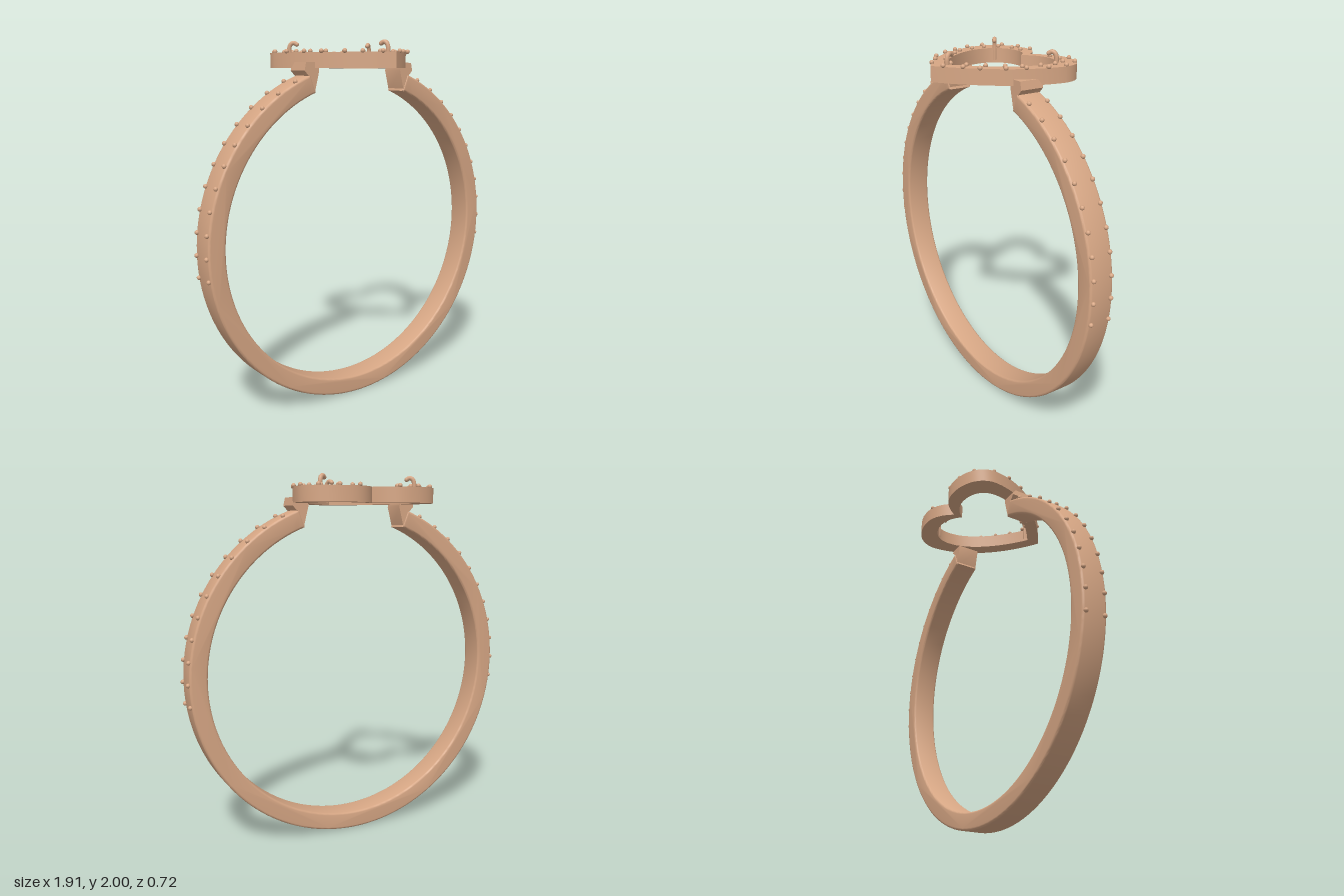
import * as THREE from 'three';
import { toCreasedNormals } from 'three/addons/utils/BufferGeometryUtils.js';

const CENTER_Y = 0.94;

export function createModel() {
  const group = new THREE.Group();
  const roseGold = new THREE.MeshStandardMaterial({ color: 0xd6a684 });
  roseGold.name = 'roseGold';

  const add = (name, geometry, parent = group) => {
    const mesh = new THREE.Mesh(geometry, roseGold);
    mesh.name = name;
    parent.add(mesh);
    return mesh;
  };
  const extrude = (shape, depth, bevel, curveSegments = 12) => {
    const g = new THREE.ExtrudeGeometry(shape, {
      depth: depth - 2 * bevel, curveSegments,
      bevelEnabled: bevel > 0, bevelThickness: bevel, bevelSize: bevel,
      bevelOffset: -bevel, bevelSegments: 3,
    });
    g.translate(0, 0, bevel - depth / 2);
    return toCreasedNormals(g, 0.6);
  };

  // Open band: an arc with a gap at the top
  const gap = THREE.MathUtils.degToRad(20.5);
  const start = Math.PI / 2 + gap, end = Math.PI * 2.5 - gap;
  const arc = new THREE.Shape();
  arc.absarc(0, 0, 0.94, start, end, false);
  arc.absarc(0, 0, 0.843, end, start, true);
  arc.closePath();
  add('band', extrude(arc, 0.14, 0.012, 120)).position.y = CENTER_Y;

  // Shoulders joining the band to the heart
  for (const side of [1, -1]) {
    const pts = [[0.304, 1.727], [0.335, 1.81], [0.365, 1.842], [0.355, 1.885], [0.285, 1.885], [0.275, 1.842]]
      .map(([x, y]) => new THREE.Vector2(x * side, y));
    add(side > 0 ? 'leftShoulder' : 'rightShoulder', extrude(new THREE.Shape(pts), 0.132, 0));
  }

  // Heart outline from one half, given as a tip and three curves, then mirrored
  const heartPoints = (tip, ...curves) => {
    const path = new THREE.Path().moveTo(...tip);
    curves.forEach((c) => path.bezierCurveTo(...c));
    const half = path.getPoints(16);
    const mirror = half.slice(1, -1).reverse().map((p) => new THREE.Vector2(-p.x, p.y));
    return [...half, ...mirror];
  };
  const heart = new THREE.Shape(heartPoints([0, -0.355],
    [0.22, -0.22, 0.375, -0.02, 0.387, 0.19],
    [0.387, 0.3, 0.28, 0.36, 0.17, 0.36],
    [0.09, 0.36, 0.04, 0.315, 0, 0.255]));
  heart.holes.push(new THREE.Path(heartPoints([0, -0.275],
    [0.15, -0.17, 0.295, 0, 0.29, 0.14],
    [0.29, 0.23, 0.22, 0.272, 0.14, 0.272],
    [0.08, 0.272, 0.03, 0.24, 0, 0.2])));
  const heartGeo = extrude(heart, 0.08, 0);
  heartGeo.rotateX(-Math.PI / 2);
  add('heartFrame', heartGeo).position.y = 1.895;

  // Beads along both edges of the band and in two rows on the heart
  const bead = new THREE.SphereGeometry(0.012, 12, 8);
  const bandBeads = new THREE.Group();
  bandBeads.name = 'bandBeads';
  const heartBeads = new THREE.Group();
  heartBeads.name = 'heartBeads';
  group.add(bandBeads, heartBeads);

  for (const side of [1, -1]) {
    for (let i = -1; i <= 9; i++) {
      const a = THREE.MathUtils.degToRad(7.1 * i);
      for (const z of [0.055, -0.055]) {
        add('bandBead', bead, bandBeads)
          .position.set(side * 0.944 * Math.cos(a), CENTER_Y + 0.944 * Math.sin(a), z);
      }
    }
    const spots = [
      [0.115, -0.345], [0.225, -0.342], [0.322, -0.3], [0.376, -0.2], [0.37, -0.095],
      [0.33, 0.01], [0.285, 0.1], [0.21, 0.2], [0.135, 0.25], [0.055, 0.315],
      [0.13, -0.29], [0.21, -0.29], [0.287, -0.25], [0.318, -0.175], [0.312, -0.09],
      [0.288, 0.005], [0.235, 0.07], [0.168, 0.14], [0.1, 0.208], [0.02, 0.25],
    ];
    for (const [x, z] of spots) {
      add('heartBead', bead, heartBeads).position.set(side * x, 1.941, z);
    }
  }

  // Three hooked prongs curling in over the opening
  const prongs = [[-0.275, -0.217, 0.8, 0.6], [0.275, -0.217, -0.8, 0.6], [0.016, 0.268, -0.4, -0.9]];
  for (const [x, z, dx, dz] of prongs) {
    const at = (d, y) => new THREE.Vector3(x + dx * d, y, z + dz * d);
    const curve = new THREE.CatmullRomCurve3([
      at(0, 1.87), at(0, 1.92), at(0, 1.962), at(0.008, 1.981), at(0.024, 1.988), at(0.04, 1.98)]);
    const prong = new THREE.Group();
    prong.name = 'prong';
    group.add(prong);
    add('prongWire', new THREE.TubeGeometry(curve, 24, 0.012, 10), prong);
    add('prongTip', bead, prong).position.copy(at(0.04, 1.98));
  }
  return group;
}
